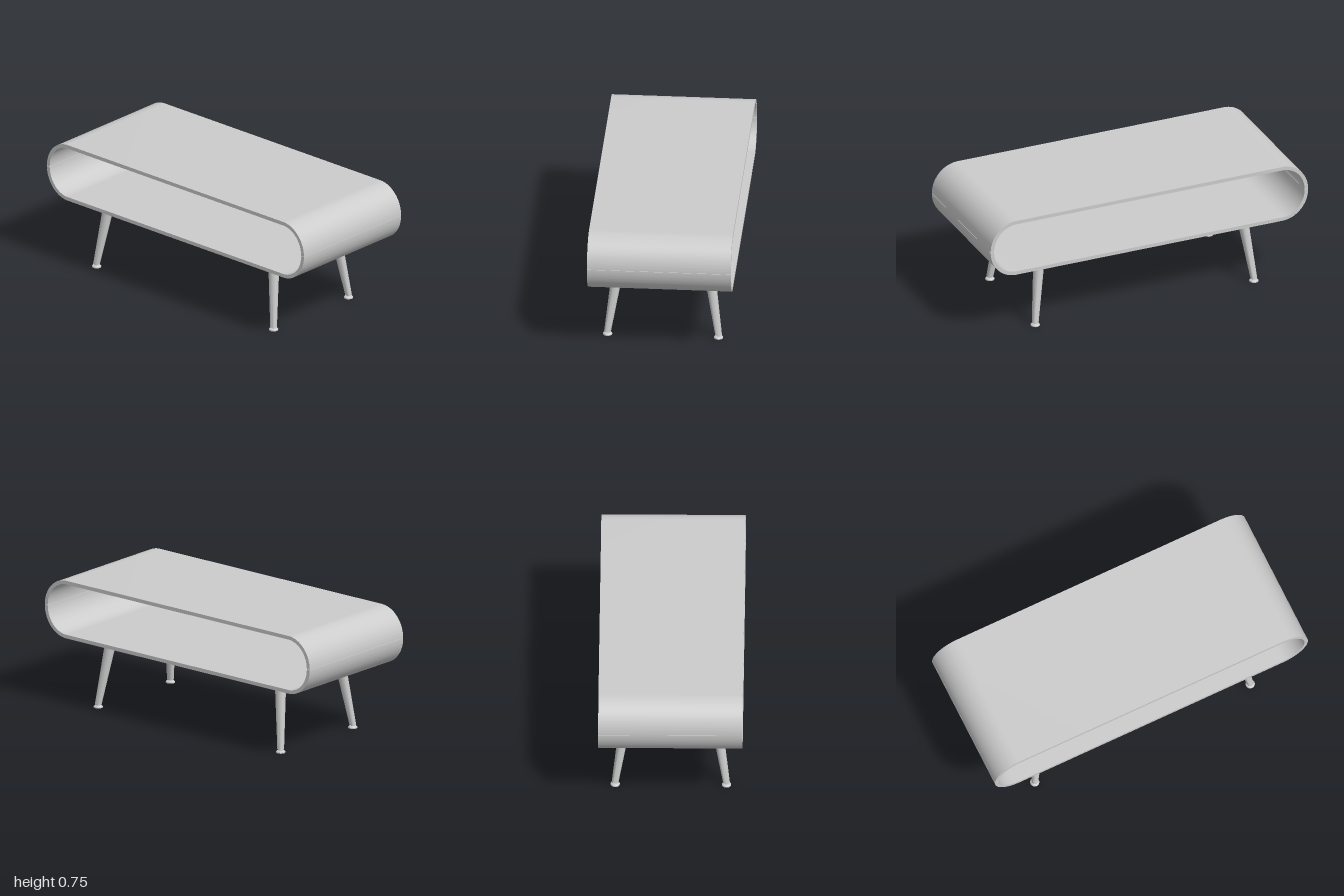
import * as THREE from 'three';
import { toCreasedNormals } from 'three/addons/utils/BufferGeometryUtils.js';

const material = new THREE.MeshStandardMaterial({ color: 0xcccccc });
const DEPTH = 0.83, BASE = 0.403, HALF_H = 0.1735, WALL = 0.022, SEAM = 0.001;
const FLAT_X = 0.838; // where the rounded ends begin

function add(parent, name, geometry, x = 0, y = 0, z = 0) {
  const mesh = new THREE.Mesh(geometry, material);
  mesh.name = name;
  mesh.position.set(x, y, z);
  parent.add(mesh);
  return mesh;
}

// Upper half of the hollow rounded case, extruded front to back
function halfShell() {
  const rx = 1 - FLAT_X, ry = HALF_H - SEAM;
  const shape = new THREE.Shape();
  shape.moveTo(1, 0);
  shape.absellipse(FLAT_X, 0, rx, ry, 0, Math.PI / 2, false);
  shape.absellipse(-FLAT_X, 0, rx, ry, Math.PI / 2, Math.PI, false);
  shape.lineTo(-1 + WALL, 0);
  shape.absellipse(-FLAT_X, 0, rx - WALL, ry - WALL, Math.PI, Math.PI / 2, true);
  shape.absellipse(FLAT_X, 0, rx - WALL, ry - WALL, Math.PI / 2, 0, true);
  shape.closePath();
  const geo = new THREE.ExtrudeGeometry(shape, { depth: DEPTH, bevelEnabled: false, curveSegments: 20 });
  geo.translate(0, SEAM, -DEPTH / 2);
  return toCreasedNormals(geo, 0.5);
}

// Tapered leg, sheared so that both ends stay level
function legGeometry(dx, dz) {
  const h = 0.37;
  const geo = new THREE.CylinderGeometry(0.033, 0.02, h, 12);
  const p = geo.attributes.position;
  for (let i = 0; i < p.count; i++) {
    const t = p.getY(i) / h + 0.5;
    p.setX(i, p.getX(i) + dx * t);
    p.setZ(i, p.getZ(i) + dz * t);
  }
  geo.computeVertexNormals();
  return toCreasedNormals(geo, 0.7);
}

// Turned levelling foot
function footGeometry() {
  const profile = [[0, 0], [0.027, 0], [0.027, 0.006], [0.021, 0.012], [0.013, 0.014], [0.013, 0.021], [0, 0.021]];
  const geo = new THREE.LatheGeometry(profile.map(([r, y]) => new THREE.Vector2(r, y)), 16);
  return toCreasedNormals(geo, 0.5);
}

export function createModel() {
  const group = new THREE.Group();
  group.name = 'coffeeTable';

  // Case
  const shell = halfShell();
  add(group, 'upperShell', shell, 0, BASE + HALF_H, 0);
  add(group, 'lowerShell', shell, 0, BASE + HALF_H, 0).rotation.z = Math.PI;

  // Splayed legs with mounting plates and feet
  const foot = footGeometry();
  const plate = new THREE.BoxGeometry(0.197, 0.014, 0.202);
  for (const sx of [-1, 1]) {
    for (const sz of [-1, 1]) {
      const leg = new THREE.Group();
      leg.name = (sz > 0 ? 'front' : 'back') + (sx > 0 ? 'Left' : 'Right') + 'Leg';
      const x = sx > 0 ? 0.677 : -0.7;
      const z = sz * 0.32;
      add(leg, 'foot', foot, x, 0, z);
      add(leg, 'legPost', legGeometry(-sx * 0.048, -sz * 0.055), x, 0.205, z);
      add(leg, 'mountingPlate', plate, sx > 0 ? 0.637 : -0.64, 0.397, sz > 0 ? 0.267 : -0.262);
      group.add(leg);
    }
  }
  return group;
}
